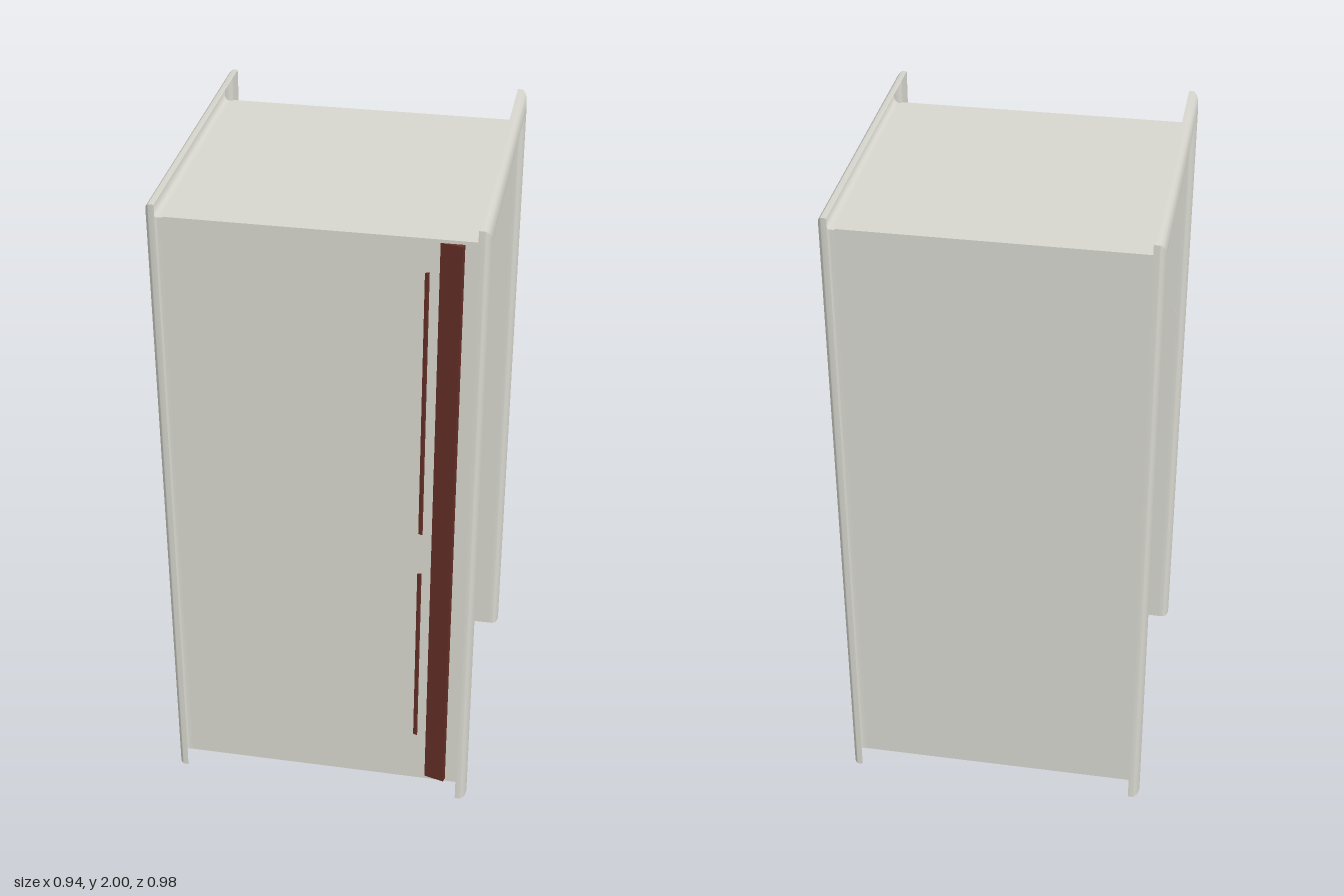
import * as THREE from 'three';

const paint = new THREE.MeshStandardMaterial({ color: 0xd6d6ce, side: THREE.DoubleSide });
paint.name = 'palePaint';
const wood = new THREE.MeshStandardMaterial({ color: 0x642f26 });
wood.name = 'redWood';
const darkWood = new THREE.MeshStandardMaterial({ color: 0x40240f });
darkWood.name = 'darkWood';
const metal = new THREE.MeshStandardMaterial({ color: 0x43201a });
metal.name = 'darkMetal';

const HX = 0.436, HZ = 0.417, TOP = 1.93; // passage half length, half width, height
const WIDTH = 0.82, THICK = 0.032;        // door leaf

function add(parent, name, geometry, material, x = 0, y = 0, z = 0) {
  const mesh = new THREE.Mesh(geometry, material);
  mesh.name = name;
  mesh.position.set(x, y, z);
  parent.add(mesh);
  return mesh;
}

function rect(T, x0, y0, x1, y1) {
  return new T([[x0, y0], [x1, y0], [x1, y1], [x0, y1]].map(p => new THREE.Vector2(...p)));
}

// One straight length of moulded trim between two mitred ends; start and end map (out, across) to a point
function trimLength(start, end) {
  const curve = new THREE.SplineCurve([[0.014, 0], [0.026, 0.008], [0.032, 0.028], [0.031, 0.045], [0.026, 0.062], [0.016, 0.073]]
    .map(p => new THREE.Vector2(...p)));
  const profile = [new THREE.Vector2(0, 0), ...curve.getPoints(14), new THREE.Vector2(0, 0.073)];
  const pos = [], index = [];
  profile.forEach(({ x, y }, i) => {
    pos.push(...start(x, y), ...end(x, y));
    if (i) {
      const a = 2 * i - 2;
      index.push(a, a + 2, a + 1, a + 1, a + 2, a + 3);
    }
  });
  const g = new THREE.BufferGeometry();
  g.setAttribute('position', new THREE.Float32BufferAttribute(pos, 3));
  g.setIndex(index);
  g.computeVertexNormals();
  return g;
}

// Trim around one end of the passage
function makeTrim() {
  const trim = new THREE.Group();
  trim.name = 'doorwayTrim';
  const path = [
    (o, d) => [HX + o, 0, HZ + d],
    (o, d) => [HX + o, TOP - 0.003 + d, HZ + d],
    (o, d) => [HX + o, TOP - 0.003 + d, -HZ - d],
    (o, d) => [HX + o, 0, -HZ - d],
  ];
  ['frontJambTrim', 'headTrim', 'backJambTrim'].forEach((name, i) =>
    add(trim, name, trimLength(path[i], path[i + 1]), paint));
  return trim;
}

// Knob with its rose, turned around an axis pointing away from the door
function makeKnob(side) {
  const profile = [[0.022, 0], [0.022, 0.004], [0.009, 0.008], [0.008, 0.028], [0.016, 0.034], [0.022, 0.044], [0.02, 0.055], [0.011, 0.061], [0, 0.063]];
  const g = new THREE.LatheGeometry(profile.map(p => new THREE.Vector2(...p)), 20);
  g.rotateX(side * Math.PI / 2);
  return g;
}

function makeDoor() {
  const door = new THREE.Group();
  door.name = 'door';
  const columns = [[-0.39, -0.09], [-0.73, -0.43]];
  const rows = [[0.18, 0.82], [0.96, 1.83]];

  // Leaf with four openings
  const leaf = rect(THREE.Shape, -WIDTH, 0.01, 0, 1.92);
  for (const [x0, x1] of columns) for (const [y0, y1] of rows) {
    leaf.holes.push(rect(THREE.Path, x0 + 0.008, y0 + 0.008, x1 - 0.008, y1 - 0.008));

    // Moulding standing proud on both faces
    const frame = rect(THREE.Shape, x0, y0, x1, y1);
    frame.holes.push(rect(THREE.Path, x0 + 0.02, y0 + 0.02, x1 - 0.02, y1 - 0.02));
    const proud = 0.01, round = 0.004;
    add(door, 'panelMoulding', new THREE.ExtrudeGeometry(frame, {
      depth: THICK + 2 * (proud - round), bevelThickness: round, bevelSize: round, bevelOffset: -round, bevelSegments: 2,
    }), wood, 0, 0, -THICK - proud + round);

    // Raised field with wide sloping edges
    const slope = 0.011, raise = 0.001;
    add(door, 'raisedPanel', new THREE.ExtrudeGeometry(rect(THREE.Shape, x0 + 0.015, y0 + 0.015, x1 - 0.015, y1 - 0.015), {
      depth: THICK + 2 * (raise - slope), bevelThickness: slope, bevelSize: 0.05, bevelOffset: -0.05, bevelSegments: 1,
    }), [wood, darkWood], 0, 0, -THICK - raise + slope);
  }
  add(door, 'doorLeaf', new THREE.ExtrudeGeometry(leaf, { depth: THICK, bevelEnabled: false }), wood, 0, 0, -THICK);

  // Knobs and keyhole plates on both faces
  for (const side of [1, -1]) {
    const z = side > 0 ? 0 : -THICK;
    add(door, 'knob', makeKnob(side), metal, -0.765, 0.885, z);
    const plate = new THREE.CylinderGeometry(0.011, 0.011, 0.006, 16);
    plate.rotateX(Math.PI / 2).scale(1, 1.5, 1);
    add(door, 'keyholePlate', plate, metal, -0.765, 0.785, z + side * 0.002);
  }

  // Hinges
  for (const y of [0.25, 0.98, 1.73])
    add(door, 'hinge', new THREE.CylinderGeometry(0.007, 0.007, 0.09, 12), metal, 0.003, y, -THICK - 0.004);

  // Standing open into the passage
  door.position.set(0.39, 0, 0.433);
  door.rotation.y = -0.252;
  return door;
}

export function createModel() {
  const model = new THREE.Group();
  model.name = 'openDoorway';

  // Thin walls and ceiling of the passage
  const wall = new THREE.PlaneGeometry(2 * HX, TOP);
  add(model, 'frontWall', wall, paint, 0, TOP / 2, HZ);
  add(model, 'backWall', wall, paint, 0, TOP / 2, -HZ).rotation.y = Math.PI;
  add(model, 'ceiling', new THREE.PlaneGeometry(2 * HX, 2 * HZ), paint, 0, TOP, 0).rotation.x = -Math.PI / 2;

  // Matching trim at both ends
  for (const turn of [0, Math.PI]) {
    const trim = makeTrim();
    trim.rotation.y = turn;
    model.add(trim);
  }

  model.add(makeDoor());
  return model;
}
